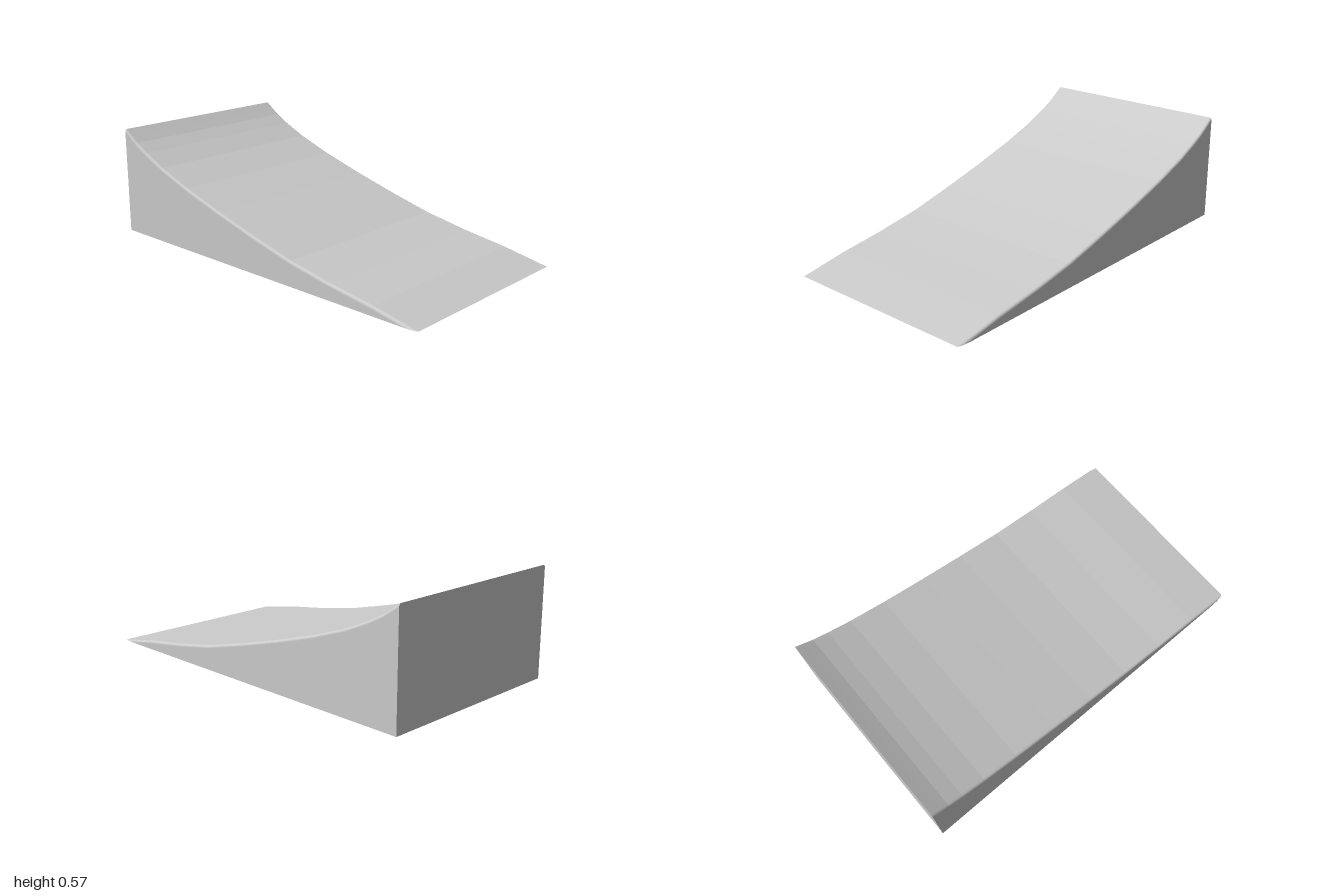
import * as THREE from 'three';

const HALF_WIDTH = 0.535;
const FILLET = 0.014;
const FILLET_STEPS = 5;

// Height of the curved deck along x
const PROFILE = [
  [-1, 0.573], [-0.955, 0.541], [-0.91, 0.51], [-0.83, 0.467], [-0.7, 0.408], [-0.5, 0.336],
  [-0.25, 0.26], [0, 0.191], [0.25, 0.128], [0.5, 0.083], [0.75, 0.047],
  [0.93, 0.0132], [0.96, 0.0075], [0.98, 0.0038], [0.993, 0.0015], [1, 0],
];

// Cross-section at one x: up the +z side, over the rounded edges, down the -z side
function section(x, y) {
  const start = Math.asin(Math.max(0, 1 - y / FILLET)); // fillet is cut off by the ground
  const half = [];
  for (let k = 0; k <= FILLET_STEPS; k++) {
    const a = THREE.MathUtils.lerp(start, Math.PI / 2, k / FILLET_STEPS);
    half.push([
      x,
      Math.max(0, y - FILLET + FILLET * Math.sin(a)),
      HALF_WIDTH - FILLET + FILLET * Math.cos(a),
    ]);
  }
  half.unshift([x, 0, half[0][2]]);
  const mirrored = half.map(([px, py, pz]) => [px, py, -pz]).reverse();
  return [...half, ...mirrored];
}

// Skin the sections into a closed wedge
function wedgeGeometry() {
  const rings = PROFILE.map(([x, y]) => section(x, y));
  const n = rings[0].length;
  const index = [];
  for (let i = 0; i < rings.length - 1; i++) {
    for (let j = 0; j < n; j++) {
      const a = i * n + j;
      const b = i * n + (j + 1) % n;
      index.push(a, a + n, b, b, a + n, b + n);
    }
  }
  // Tall end wall
  for (let j = 1; j < n - 1; j++) index.push(0, j, j + 1);

  const geometry = new THREE.BufferGeometry();
  geometry.setAttribute('position', new THREE.Float32BufferAttribute(rings.flat(2), 3));
  geometry.setIndex(index);
  const flat = geometry.toNonIndexed();
  flat.computeVertexNormals();
  return flat;
}

export function createModel() {
  const group = new THREE.Group();
  group.name = 'curvedRamp';
  const material = new THREE.MeshStandardMaterial({ color: 0xcccccc, flatShading: true });
  const ramp = new THREE.Mesh(wedgeGeometry(), material);
  ramp.name = 'rampBody';
  group.add(ramp);
  return group;
}
